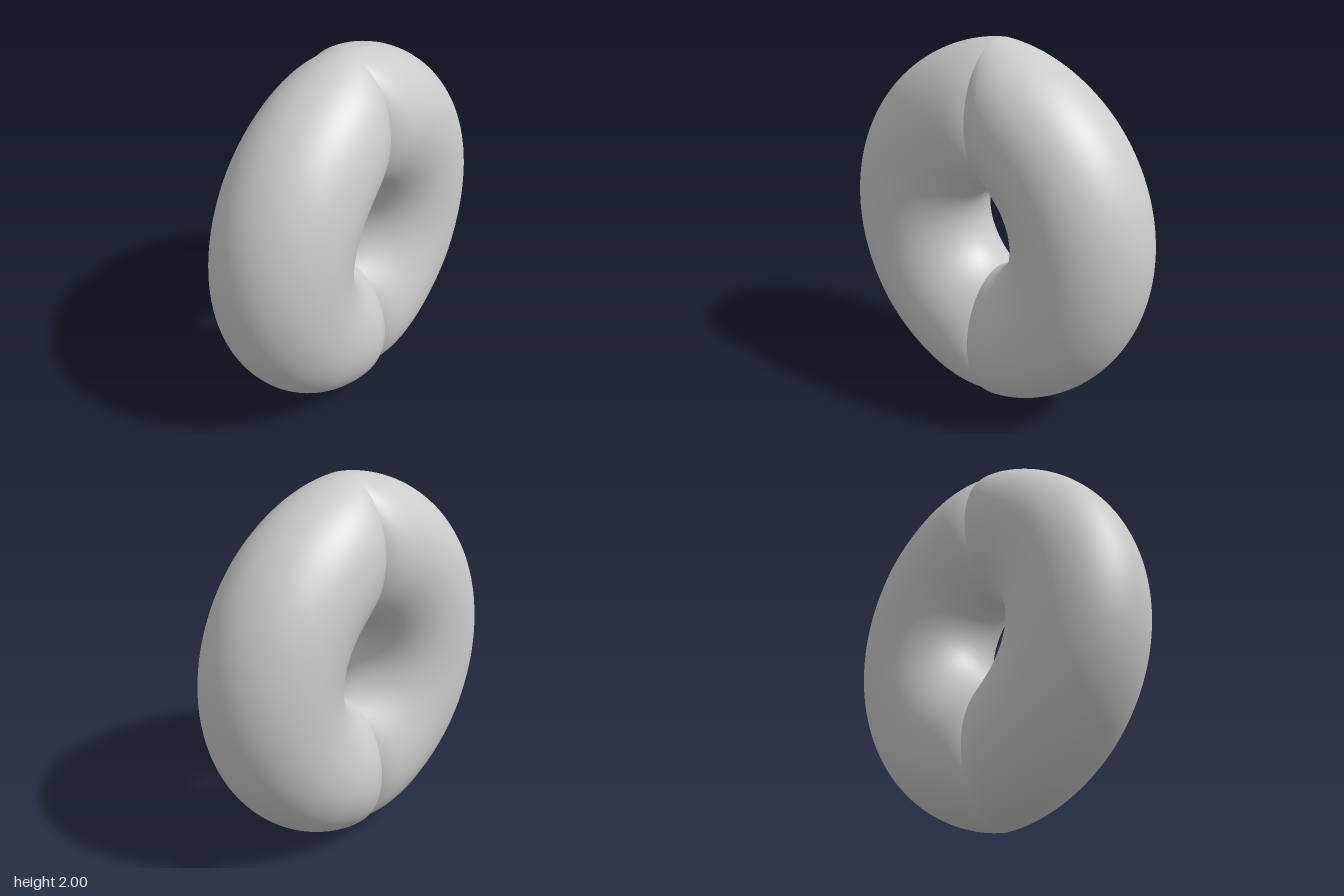
import * as THREE from 'three';
import { ParametricGeometry } from 'three/addons/geometries/ParametricGeometry.js';

// One half of the ring: an arc of a torus whose centre lies past the x = 0 plane,
// pinched in depth towards the seam.
function halfRingPoint(u, v, target) {
  const t = v * Math.PI * 2;
  const offset = 0.107 + 0.01 * Math.cos(t);
  const radius = 0.6315 + 0.3755 * Math.cos(t);
  const reach = Math.acos(offset / radius);
  const a = (u * 2 - 1) * reach;
  const x = Math.max(0, radius * Math.cos(a) - offset);
  const pinch = 0.17 * Math.exp(-x / 0.08) + 0.065 * Math.max(0, 1 - x / 0.55);
  target.set(x, 1 + radius * Math.sin(a), 0.352 * Math.sin(t) * (1 - pinch));
}

export function createModel() {
  const group = new THREE.Group();
  group.name = 'creasedRing';
  const material = new THREE.MeshStandardMaterial({ color: 0xcccccc, side: THREE.DoubleSide });
  const geometry = new ParametricGeometry(halfRingPoint, 128, 96);

  // The two halves meet in a crease at x = 0
  ['leftHalf', 'rightHalf'].forEach((name, i) => {
    const half = new THREE.Mesh(geometry, material);
    half.name = name;
    half.rotation.y = i * Math.PI;
    group.add(half);
  });
  return group;
}
